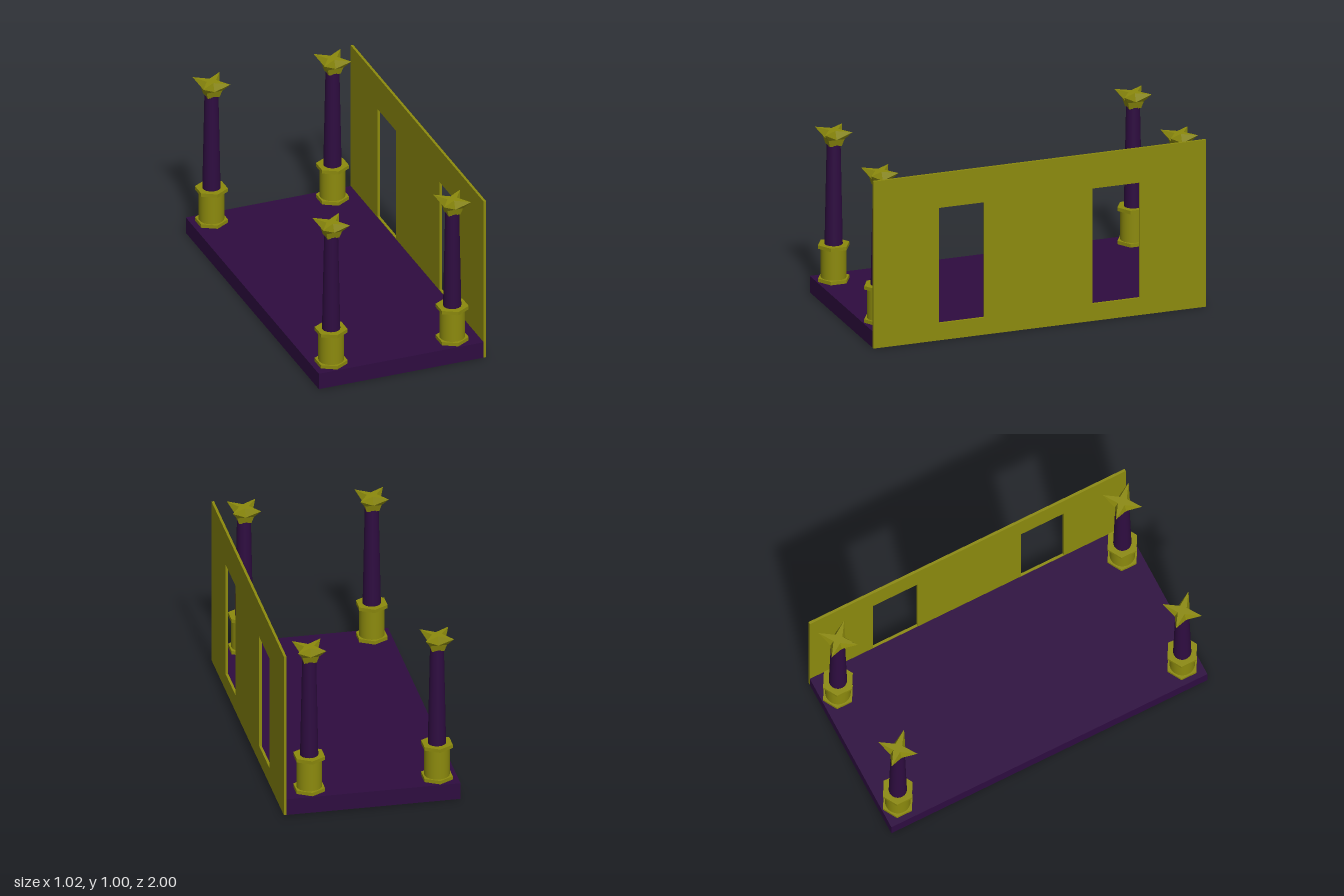
import * as THREE from 'three';

const gold = new THREE.MeshStandardMaterial({ color: 0x8c8a0d });
const goldFlat = new THREE.MeshStandardMaterial({ color: 0x8c8a0d, flatShading: true });
const purple = new THREE.MeshStandardMaterial({ color: 0x2e0c40 });

function add(parent, name, geometry, material, x = 0, y = 0, z = 0) {
  const mesh = new THREE.Mesh(geometry, material);
  mesh.name = name;
  mesh.position.set(x, y, z);
  parent.add(mesh);
  return mesh;
}

// Capital: square foot and waist flaring into a four-pointed star
function capitalGeometry() {
  // [height, corner offset, side-middle offset]
  const levels = [[0.91, 0.036, 0.036], [0.952, 0.0475, 0.0475], [1, 0.082, 0.028]];
  const rings = levels.map(([y, corner, middle]) => {
    const ring = [];
    for (let i = 0; i < 8; i++) {
      const a = (i * Math.PI) / 4;
      const r = i % 2 ? corner * Math.SQRT2 : middle;
      ring.push([Math.sin(a) * r, y, Math.cos(a) * r]);
    }
    return ring;
  });
  const pos = [];
  const tri = (...pts) => pts.forEach((p) => pos.push(...p));
  for (let i = 0; i < 8; i++) {
    const j = (i + 1) % 8;
    for (let k = 0; k < 2; k++) {
      const a = rings[k][i], b = rings[k][j], c = rings[k + 1][j], d = rings[k + 1][i];
      // split each panel from the side middle to the tip
      if (i % 2) { tri(a, b, d); tri(b, c, d); } else { tri(a, b, c); tri(a, c, d); }
    }
    tri([0, 1, 0], rings[2][i], rings[2][j]);
    tri([0, 0.91, 0], rings[0][j], rings[0][i]);
  }
  const g = new THREE.BufferGeometry();
  g.setAttribute('position', new THREE.Float32BufferAttribute(pos, 3));
  g.computeVertexNormals();
  return g;
}

export function createModel() {
  const model = new THREE.Group();
  model.name = 'colonnadeHall';

  // Floor slab
  add(model, 'floor', new THREE.BoxGeometry(1, 0.098, 2), purple, -0.008, 0.052, 0);

  // Side wall with two doorways
  const wall = new THREE.Shape();
  wall.moveTo(-1, 0.003).lineTo(1, 0.003).lineTo(1, 0.999).lineTo(-1, 0.999).closePath();
  for (const [z0, z1] of [[-0.6, -0.317], [0.335, 0.608]]) {
    const door = new THREE.Path();
    door.moveTo(z0, 0.105).lineTo(z0, 0.793).lineTo(z1, 0.793).lineTo(z1, 0.105).closePath();
    wall.holes.push(door);
  }
  const wallGeometry = new THREE.ExtrudeGeometry(wall, { depth: 0.015, bevelEnabled: false });
  add(model, 'sideWall', wallGeometry, gold, 0.507).rotation.y = -Math.PI / 2;

  // Four columns
  const ring = new THREE.CylinderGeometry(0.094, 0.094, 0.021, 6);
  const drum = new THREE.CylinderGeometry(0.0725, 0.0725, 0.2, 32);
  const shaft = new THREE.CylinderGeometry(0.0395, 0.058, 0.915, 32);
  const capital = capitalGeometry();
  for (const x of [-0.393, 0.341]) {
    for (const z of [-0.9, 0.9]) {
      const column = new THREE.Group();
      column.name = 'column';
      column.position.set(x, 0, z);
      add(column, 'lowerRing', ring, goldFlat, 0, 0.1125);
      add(column, 'pedestal', drum, gold, 0, 0.211);
      add(column, 'upperRing', ring, goldFlat, 0, 0.3105);
      add(column, 'shaft', shaft, purple, 0, 0.4575);
      add(column, 'capital', capital, goldFlat);
      model.add(column);
    }
  }
  return model;
}
